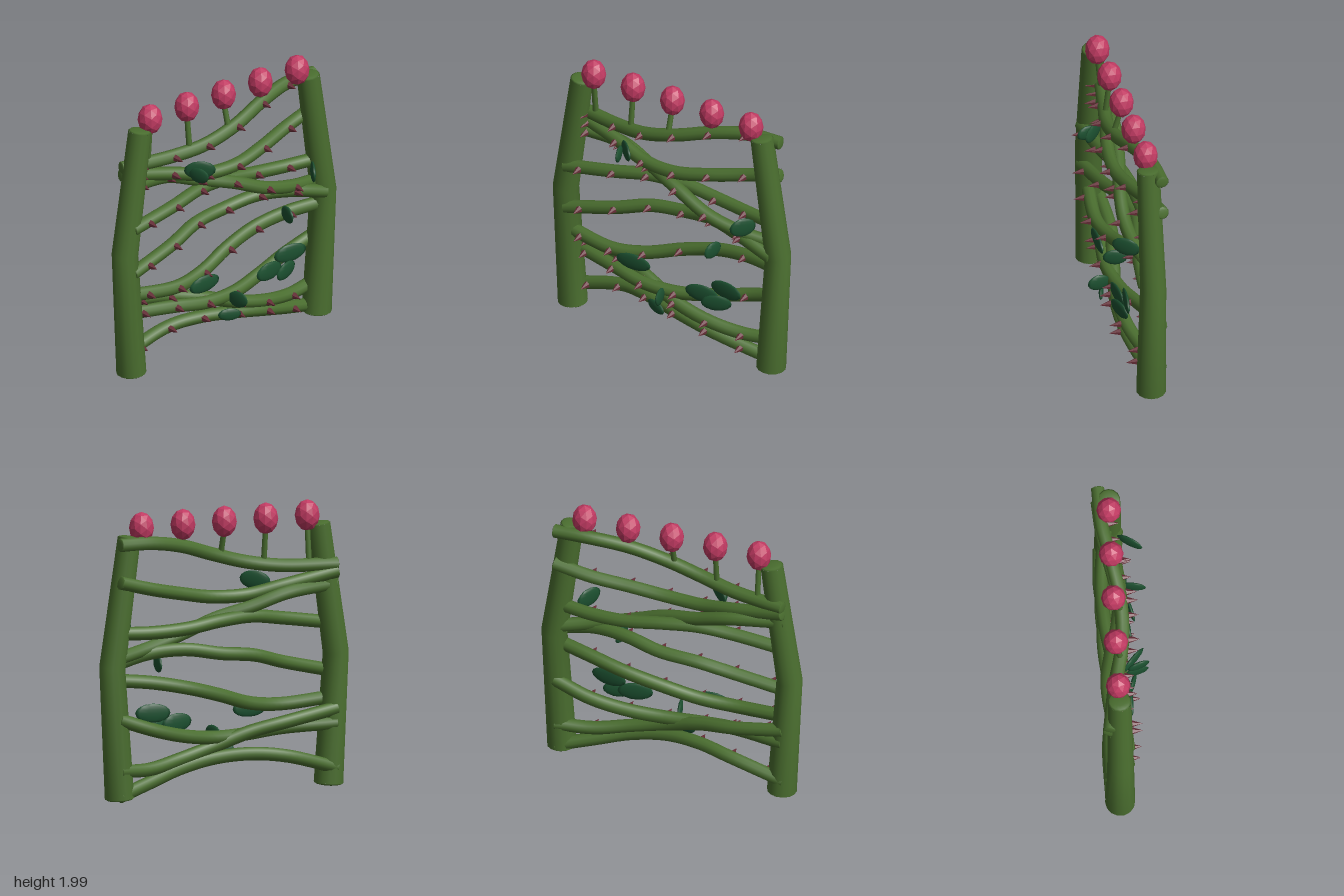
import * as THREE from 'three';
import { mergeGeometries } from 'three/addons/utils/BufferGeometryUtils.js';

const V = (x, y, z) => new THREE.Vector3(x, y, z);

// Capped tube along a curve, tapering from r0 to r1
function branch(curve, segments, sides, r0, r1) {
  const tube = new THREE.TubeGeometry(curve, segments, 1, sides);
  const pos = tube.attributes.position;
  const v = V(0, 0, 0);
  for (let i = 0; i <= segments; i++) {
    const c = curve.getPointAt(i / segments);
    const r = r0 + (r1 - r0) * i / segments;
    for (let j = 0; j <= sides; j++) {
      const k = i * (sides + 1) + j;
      v.fromBufferAttribute(pos, k).sub(c).multiplyScalar(r).add(c);
      pos.setXYZ(k, v.x, v.y, v.z);
    }
  }
  const caps = [[0, r0, -1], [1, r1, 1]].map(([t, r, s]) => {
    const cap = new THREE.SphereGeometry(r, sides, 3, 0, Math.PI * 2, 0, Math.PI / 2);
    cap.scale(1, 0.2, 1);
    const dir = curve.getTangentAt(t).multiplyScalar(s);
    cap.applyQuaternion(new THREE.Quaternion().setFromUnitVectors(V(0, 1, 0), dir));
    const p = curve.getPointAt(t);
    return cap.translate(p.x, p.y, p.z);
  });
  return mergeGeometries([tube, ...caps]);
}

export function createModel() {
  const group = new THREE.Group();
  const material = (name, color, flatShading = false) => {
    const m = new THREE.MeshStandardMaterial({ color, flatShading });
    m.name = name;
    return m;
  };
  const vineGreen = material('vineGreen', 0x4a6e2f);
  const leafGreen = material('leafGreen', 0x1c5030);
  const thornRed = material('thornRed', 0x662d37, true);
  const budPink = material('budPink', 0xc03a62, true);

  const add = (name, geometry, mat) => {
    const mesh = new THREE.Mesh(geometry, mat);
    mesh.name = name;
    group.add(mesh);
    return mesh;
  };

  // Two bowed posts
  for (const s of [-1, 1]) {
    const path = new THREE.CurvePath();
    const a = V(s * 0.807, 0.03, -0.055), b = V(s * 0.863, 0.93, -0.055), c = V(s * 0.733, 1.825, -0.055);
    path.add(new THREE.LineCurve3(a, b));
    path.add(new THREE.LineCurve3(b, c));
    add(s < 0 ? 'rightPost' : 'leftPost', branch(path, 2, 14, 0.103, 0.08), vineGreen);
  }

  // Vines weave in depth: position of the foremost point, waves along the length, heights
  const end = 0.835;
  const innerX = [-0.45, -0.2, 0.06, 0.32, 0.58];
  const xs = [-end, ...innerX, end];
  const vines = [
    [0.46, 1, [1.55, 1.555, 1.59, 1.66, 1.74, 1.785, 1.79]],
    [0.5, 1, [1.5, 1.42, 1.365, 1.365, 1.41, 1.465, 1.53]],
    [0.7, 1, [1.41, 1.375, 1.295, 1.22, 1.115, 1.045, 1.0]],
    [0, 0.75, [1.13, 1.19, 1.225, 1.215, 1.18, 1.165, 1.17]],
    [0, 1, [0.8, 0.89, 0.96, 0.99, 1.03, 1.01, 0.94]],
    [0.19, 1, [0.62, 0.59, 0.62, 0.7, 0.77, 0.82, 0.845]],
    [0.4, 1, [0.45, 0.43, 0.4, 0.395, 0.43, 0.495, 0.58]],
    [0.6, 1, [0.55, 0.48, 0.42, 0.33, 0.26, 0.215, 0.225]],
    [0.62, 1, [0.14, 0.245, 0.27, 0.25, 0.195, 0.12, 0.05]],
  ];
  const curves = vines.map(([peak, waves, heights], n) => {
    const depth = (x) => {
      const t = (x + end) / (2 * end);
      return -0.064 + 0.064 * Math.cos(2 * Math.PI * waves * (t - peak));
    };
    const points = xs.map((x, i) => V(x, heights[i], depth(x)));
    const curve = new THREE.CatmullRomCurve3(points);
    add('vine' + (n + 1), branch(curve, 36, 10, 0.047, 0.047), vineGreen);

    // Thorns point out of the front of each vine
    const first = curve.getPoint(0.055);
    for (const p of [first, ...points.slice(1, 6)]) {
      const cone = new THREE.ConeGeometry(0.028, 0.085, 6);
      cone.rotateX(Math.PI / 2);
      cone.translate(p.x, p.y, p.z + 0.076);
      add('thorn', cone, thornRed);
    }
    return curve;
  });

  // Buds on stems rising from the top vine
  const topPoints = curves[0].getPoints(80);
  for (let i = -2; i <= 2; i++) {
    const x = i * 0.32;
    const base = topPoints.reduce((a, b) => (Math.abs(b.x - x) < Math.abs(a.x - x) ? b : a));
    const stem = new THREE.LineCurve3(V(x, base.y, base.z), V(x, 1.84, -0.06));
    add('budStem', branch(stem, 1, 8, 0.021, 0.019), vineGreen);
    const bud = add('bud', new THREE.IcosahedronGeometry(1, 1), budPink);
    bud.scale.set(0.086, 0.11, 0.086);
    bud.position.set(x, 1.89, -0.06);
  }

  // Leaves: position, half length, half width, yaw, roll
  const leaves = [
    [-0.3, 1.45, 0.06, 0.11, 0.065, -0.75, 0.1],
    [-0.335, 1.43, 0.095, 0.08, 0.055, -1.25, 0.1],
    [0.665, 1.165, 0.085, 0.1, 0.07, 1.02, -0.15],
    [0.43, 0.915, 0.1, 0.085, 0.06, 1.4, -0.1],
    [0.0, 0.4, 0.1, 0.085, 0.06, -1.35, 0.2],
    [-0.25, 0.57, 0.045, 0.135, 0.062, 0.05, 0],
    [-0.05, 0.29, 0.07, 0.085, 0.045, -0.3, -0.1],
    [0.31, 0.505, 0.05, 0.125, 0.066, 0.15, -0.05],
    [0.5, 0.585, 0.04, 0.13, 0.066, -0.1, 0.03],
    [0.44, 0.48, 0.07, 0.11, 0.06, 0.3, 0.08],
  ];
  for (const [x, y, z, length, width, yaw, roll] of leaves) {
    const leaf = add('leaf', new THREE.SphereGeometry(1, 10, 8), leafGreen);
    leaf.scale.set(length, width, 0.017);
    leaf.position.set(x, y, z);
    leaf.rotation.set(0, yaw, roll, 'YXZ');
  }
  return group;
}
